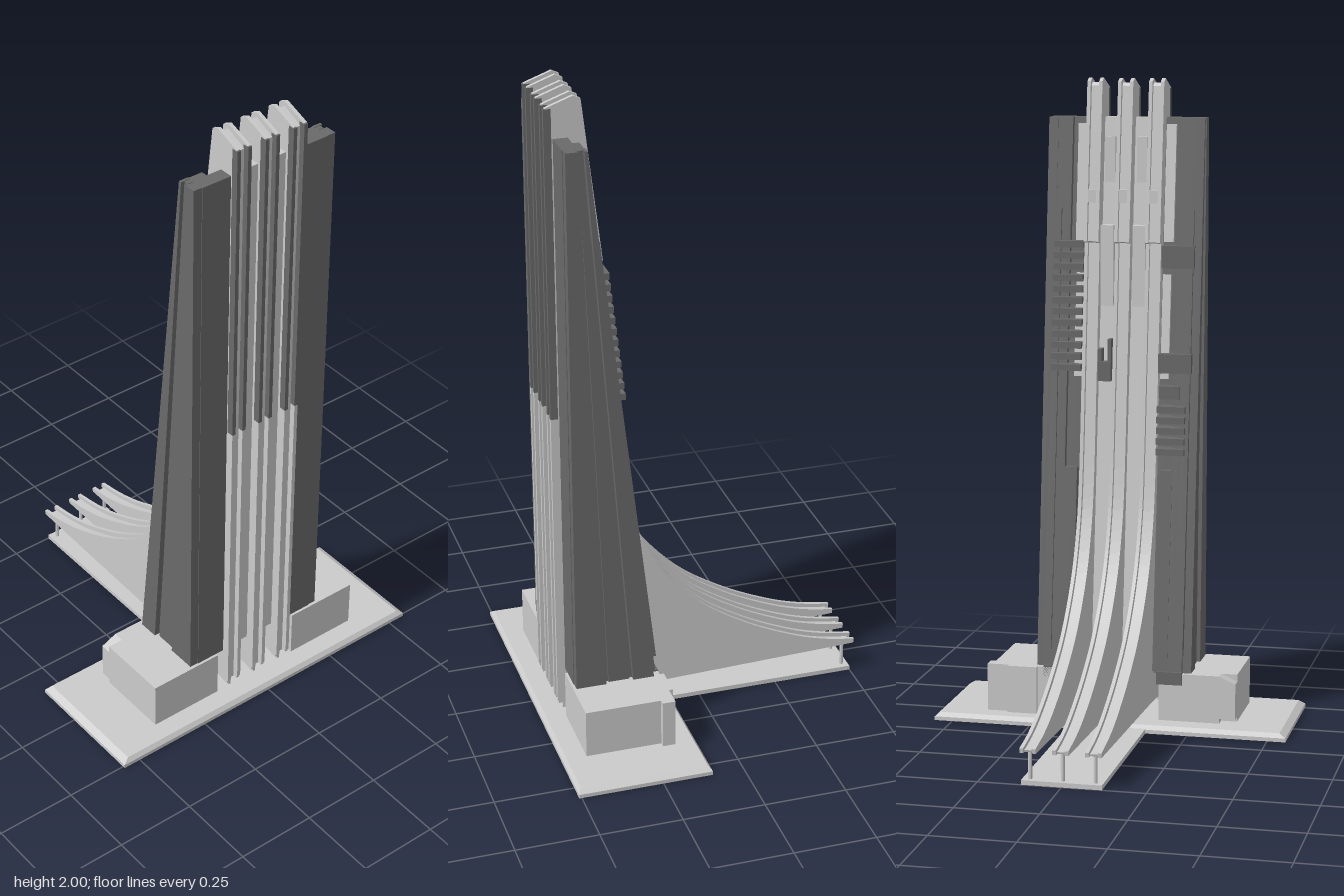
import * as THREE from 'three';

const light = new THREE.MeshStandardMaterial({ color: 0xcccccc, flatShading: true });
const dark = new THREE.MeshStandardMaterial({ color: 0x6a6a6a, flatShading: true });

function add(parent, name, geometry, material = light) {
  const mesh = new THREE.Mesh(geometry, material);
  mesh.name = name;
  parent.add(mesh);
  return mesh;
}

// Box given by its limits on each axis
function box(parent, name, [x0, x1], [y0, y1], [z0, z1], material) {
  const g = new THREE.BoxGeometry(x1 - x0, y1 - y0, z1 - z0);
  g.translate((x0 + x1) / 2, (y0 + y1) / 2, (z0 + z1) / 2);
  return add(parent, name, g, material);
}

// Side profile of [z, y] points, extruded across x from x0 to x1
function slab(parent, name, points, x0, x1, material) {
  const shape = new THREE.Shape(points.map(([z, y]) => new THREE.Vector2(-z, y)));
  const g = new THREE.ExtrudeGeometry(shape, { depth: x1 - x0, bevelEnabled: false });
  g.rotateY(Math.PI / 2).translate(x0, 0, 0);
  return add(parent, name, g, material);
}

// Sloping rear face of the tower
const rearZ = (y) => 0.17 + (y - 0.17) * 0.114;

// Swooping rear edge of a rib, from the tower down to the tail
const swoop = new THREE.SplineCurve([
  [0.268, 1.1], [0.232, 0.78], [0.195, 0.62], [0.125, 0.475], [0, 0.335],
  [-0.15, 0.235], [-0.3, 0.165], [-0.41, 0.13], [-0.512, 0.112],
].map(([z, y]) => new THREE.Vector2(z, y))).getPoints(36);

function ribProfile(inset) {
  return [
    [0.452 - inset, 0.055], [0.452 - inset, 1.97 - inset], [0.37, 2 - inset],
    [0.348 + inset, 1.99 - inset], [0.291 + inset, 1.5], [0.308 + inset, 1.495],
    ...swoop.map((p) => [p.x + inset, Math.max(p.y - inset * 0.7, 0.104)]),
    [-0.51 + inset, 0.098], [0.17, 0.075], [0.4, 0.06],
  ];
}

function buildBase(group) {
  const base = new THREE.Group();
  base.name = 'base';
  group.add(base);
  box(base, 'basePlate', [-0.557, 0.557], [0, 0.012], [0.097, 0.508]);
  // bevelled upper part of the plate
  const g = new THREE.BoxGeometry(1.114, 0.013, 0.411);
  const p = g.attributes.position;
  for (let i = 0; i < p.count; i++) {
    if (p.getY(i) > 0) p.setXYZ(i, p.getX(i) - Math.sign(p.getX(i)) * 0.02, p.getY(i), p.getZ(i) - Math.sign(p.getZ(i)) * 0.01);
  }
  g.translate(0, 0.0185, 0.3025);
  add(base, 'plateBevel', g);
  box(base, 'tailStrip', [-0.12, 0.12], [0, 0.014], [-0.5, 0.1]);

  // side buildings
  box(base, 'leftBlock', [0.147, 0.385], [0.02, 0.175], [0.165, 0.438]);
  box(base, 'leftBlockRear', [0.24, 0.335], [0.02, 0.175], [0.152, 0.166]);
  box(base, 'leftBlockSide', [0.384, 0.402], [0.02, 0.175], [0.165, 0.205]);
  box(base, 'rightBlockFront', [-0.388, -0.147], [0.02, 0.175], [0.205, 0.438]);
  box(base, 'rightBlockRear', [-0.338, -0.147], [0.02, 0.175], [0.17, 0.206]);
  // corner with its top sliced off
  const corner = new THREE.BoxGeometry(0.05, 0.135, 0.035);
  const c = corner.attributes.position;
  for (let i = 0; i < c.count; i++) {
    if (c.getY(i) > 0 && c.getX(i) < 0) c.setY(i, 0.045);
  }
  corner.translate(-0.363, 0.1075, 0.1875);
  add(base, 'rightBlockCorner', corner);
}

function buildRib(group, x) {
  const rib = new THREE.Group();
  rib.name = 'rib';
  rib.position.x = x;
  group.add(rib);
  slab(rib, 'web', ribProfile(0.014), -0.014, 0.014);
  for (const s of [-1, 1]) {
    const x0 = s * 0.0185 - 0.0055, x1 = s * 0.0185 + 0.0055;
    slab(rib, 'flange', ribProfile(0), x0, x1);
    box(rib, 'darkFrontEdge', [x0 - 0.0005, x1 + 0.0005], [1.02, 1.968], [0.434, 0.456], dark);
    box(rib, 'frontEdge', [x0 - 0.0005, x1 + 0.0005], [0.065, 1.02], [0.434, 0.456]);
  }
  // upper and lower channel caps
  box(rib, 'channelClip', [-0.013, 0.013], [1.62, 1.66], [0.31, 0.335]);
  // feet under the front edge and the tail
  box(rib, 'frontFoot', [-0.004, 0.004], [0.02, 0.065], [0.405, 0.435]);
  const post = new THREE.CylinderGeometry(0.006, 0.006, 0.09, 10);
  post.translate(0, 0.057, -0.48);
  add(rib, 'tailPost', post);
}

function buildTower(group) {
  const tower = new THREE.Group();
  tower.name = 'tower';
  group.add(tower);
  const body = (front, inset, y0 = 0.175, y1 = 1.88) => [
    [front, y0], [front, y1], [rearZ(y1) + inset, y1], [rearZ(y0) + inset, y0],
  ];
  slab(tower, 'core', body(0.425, 0.022), -0.118, 0.118);

  for (const s of [-1, 1]) {
    const wall = (name, pts, a, b, m = dark) => slab(tower, name, pts, Math.min(s * a, s * b), Math.max(s * a, s * b), m);
    wall('innerWall', body(0.43, 0.022), 0.115, 0.172);
    wall('outerWall', body(0.43, 0.002), 0.17, 0.218);
    wall('rearEdgeStrip', body(0.3, -0.006, 0.23, 1.6).map(([z, y], i) => (i < 2 ? [rearZ(y) + 0.03, y] : [z, y])), 0.198, 0.221);
    // tapering strips fanning out down the side
    const fan = [[0.428, 0.335, 0.428, 0.392, 0.246], [0.325, 0.26, 0.39, 0.375, 0.236], [0.25, 0.185, 0.373, 0.364, 0.246]];
    for (const [b0, b1, t0, t1, x] of fan) {
      wall('sideStrip', [[b0, 0.175], [t0, 1.88], [t1, 1.88], [b1, 0.175]], 0.216, x);
    }
    wall('sideBacking', body(0.41, 0.02, 0.175, 1.86), 0.216, 0.229);
    // pale panels set in the rear
    wall('rearPanel', body(0.4, 0.012, 1.5, 1.86), 0.124, 0.155, light);
    wall('lowerRearPanel', body(0.4, 0.012, 1.08, 1.4), 0.124, 0.15, light);
    wall('rearSkirt', body(0.3, 0.0, 0.175, 0.8), 0.13, 0.172);
  }
  box(tower, 'rearFoot', [0.14, 0.22], [0.14, 0.18], [0.165, 0.26], dark);
  box(tower, 'rearFoot', [-0.22, -0.14], [0.14, 0.18], [0.165, 0.26], dark);
}

function buildRearDetails(group) {
  const details = new THREE.Group();
  details.name = 'rearDetails';
  group.add(details);
  // stacks of thin slats
  const stack = (x, y0, y1, count) => {
    for (let i = 0; i < count; i++) {
      const y = y0 + ((y1 - y0) * i) / (count - 1);
      box(details, 'slat', x, [y - 0.01, y + 0.01], [rearZ(y) - 0.022, rearZ(y) + 0.05], dark);
    }
  };
  stack([0.122, 0.216], 1.11, 1.49, 12);
  stack([-0.21, -0.122], 0.86, 0.99, 5);
  // equipment boxes
  const unit = (x, y0, y1, out, m = dark) =>
    box(details, 'equipmentBox', x, [y0, y1], [rearZ(y0) - out, rearZ(y1) + 0.05], m);
  unit([-0.225, -0.122], 1.42, 1.49, 0.006);
  unit([-0.225, -0.122], 1.1, 1.16, 0.012);
  unit([-0.19, -0.125], 1.02, 1.06, 0.006);
  // hardware between the ribs
  for (const s of [-1, 1]) {
    unit([s * 0.05 - 0.02, s * 0.05 + 0.02], 1.3, 1.55, -0.01, light);
    unit([s * 0.05 - 0.016, s * 0.05 + 0.016], 1.68, 1.82, -0.012, light);
  }
  unit([0.028, 0.07], 1.07, 1.13, 0.01);
  unit([0.028, 0.04], 1.12, 1.2, 0.008);
  unit([0.058, 0.07], 1.12, 1.17, 0.008);
}

export function createModel() {
  const model = new THREE.Group();
  model.name = 'tower model';
  buildBase(model);
  buildTower(model);
  for (const x of [-0.097, 0, 0.097]) buildRib(model, x);
  buildRearDetails(model);
  return model;
}
